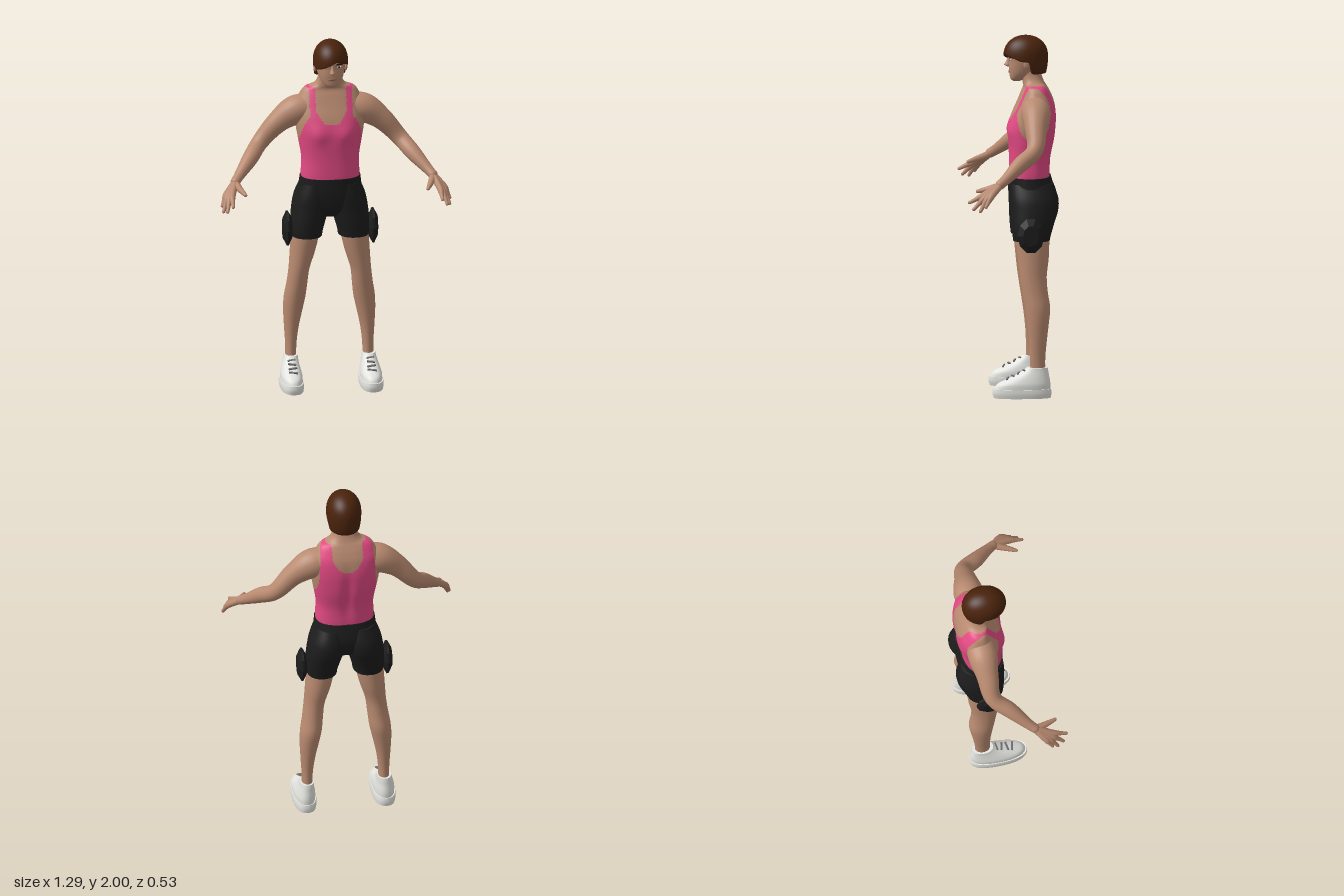
import * as THREE from 'three';

const mat = (name, color, side = THREE.FrontSide) => Object.assign(new THREE.MeshStandardMaterial({ color, side }), { name });
const M = {
  skin: mat('skin', 0xb98a70),
  tank: mat('pink fabric', 0xe34a83),
  black: mat('black fabric', 0x1c1c1c),
  hair: mat('brown hair', 0x4a230c, THREE.DoubleSide),
  shoe: mat('white shoe', 0xe4e4e0),
  lace: mat('grey lace', 0x777777),
  dark: mat('dark eye', 0x2a1a12),
  white: mat('eye white', 0xd8cfc8),
  lip: mat('lip', 0x965f50),
};

// Smooth interpolation through rows of numbers, t in 0..1
function sample(rows, t) {
  const f = t * (rows.length - 1), i = Math.min(Math.floor(f), rows.length - 2), k = f - i;
  const at = j => rows[Math.max(0, Math.min(rows.length - 1, j))];
  return rows[0].map((_, c) => {
    const [a, b, d, e] = [at(i - 1)[c], at(i)[c], at(i + 1)[c], at(i + 2)[c]];
    return b + 0.5 * k * (d - a + k * (2 * a - 5 * b + 4 * d - e + k * (3 * (b - d) + e - a)));
  });
}

// Skin a list of closed rings; caps get sharp rims. pick() sorts faces into two material groups.
function skinRings(rings, pick) {
  const centre = r => {
    const c = r.reduce((s, p) => s.add(p), new THREE.Vector3()).divideScalar(r.length);
    return r.map(() => c);
  };
  const first = rings[0], last = rings[rings.length - 1];
  const all = [centre(first), first, ...rings, last, centre(last)];
  const n = first.length, pts = all.flat(), sets = [[], []];
  for (let j = 0; j < all.length - 1; j++) {
    for (let i = 0; i < n; i++) {
      const a = j * n + i, b = j * n + (i + 1) % n, c = a + n, d = b + n;
      const mid = pts[a].clone().add(pts[d]).multiplyScalar(0.5);
      sets[pick && pick(mid) ? 1 : 0].push(a, b, c, b, d, c);
    }
  }
  const g = new THREE.BufferGeometry().setFromPoints(pts);
  g.setIndex([...sets[0], ...sets[1]]);
  if (pick) {
    g.addGroup(0, sets[0].length, 0);
    g.addGroup(sets[0].length, sets[1].length, 1);
  }
  g.computeVertexNormals();
  return g;
}

// Upright loft; rows are [y, centre x, half width, front z, back z]
function loft(rows, { n = 32, steps = 24, p = 2, warp, pick } = {}) {
  const pw = c => Math.sign(c) * Math.abs(c) ** (2 / p);
  const rings = [];
  for (let j = 0; j <= steps; j++) {
    const [y, cx, w, zf, zb] = sample(rows, j / steps);
    rings.push(Array.from({ length: n }, (_, i) => {
      const a = i / n * Math.PI * 2;
      const v = new THREE.Vector3(cx + w * pw(Math.cos(a)), y, (zf + zb) / 2 - (zf - zb) / 2 * pw(Math.sin(a)));
      if (warp) warp(v);
      return v;
    }));
  }
  return skinRings(rings, pick);
}

// Round limb swept through [x, y, z, radius] points, with a rounded tip
function limb(points, s, n = 16, steps = 24) {
  const curve = new THREE.CatmullRomCurve3(points.map(([x, y, z]) => new THREE.Vector3(x * s, y, z)));
  const { normals, binormals } = curve.computeFrenetFrames(steps);
  const rings = [];
  for (let j = 0; j <= steps; j++) {
    const t = j / steps, c = curve.getPoint(t);
    const r = sample(points, t)[3] * (t > 0.93 ? Math.sqrt(Math.max(0.04, 1 - ((t - 0.93) / 0.07) ** 2)) : 1);
    rings.push(Array.from({ length: n }, (_, i) => {
      const a = i / n * Math.PI * 2;
      return c.clone().addScaledVector(normals[j], r * Math.cos(a)).addScaledVector(binormals[j], r * Math.sin(a));
    }));
  }
  return skinRings(rings);
}

export function createModel() {
  const root = new THREE.Group();
  const add = (name, geo, m, x = 0, y = 0, z = 0) => {
    const o = new THREE.Mesh(geo, m);
    o.name = name;
    o.position.set(x, y, z);
    root.add(o);
    return o;
  };
  const mirrored = rows => s => rows.map(([y, cx, ...r]) => [y, cx * s, ...r]);

  // Torso and neck; the tank top is cut out by neckline and armhole rules
  const inTank = ({ x, y, z }) => {
    const ax = Math.abs(x);
    const low = z > -0.14 ? 1.53 : 1.575;
    if (y > 1.728 || (ax < 0.086 && y > low + 0.08 * (ax / 0.086) ** 3)) return false;
    if (ax > 0.15 && y > 1.62) return false;
    return !(ax > 0.12 && ((z + 0.125) / 0.092) ** 2 + ((y - 1.57) / 0.15) ** 2 < 1);
  };
  add('torsoAndTankTop', loft([
    [1.16, 0, 0.155, 0, -0.215], [1.22, 0, 0.163, 0.005, -0.22], [1.32, 0, 0.16, 0.005, -0.225],
    [1.42, 0, 0.176, 0.008, -0.245], [1.49, 0, 0.188, 0.006, -0.253], [1.56, 0, 0.194, -0.012, -0.255],
    [1.63, 0, 0.188, -0.042, -0.245], [1.68, 0, 0.165, -0.062, -0.225], [1.715, 0, 0.14, -0.075, -0.205],
    [1.74, 0, 0.088, -0.07, -0.19], [1.78, 0, 0.066, -0.062, -0.176], [1.84, 0, 0.062, -0.055, -0.17],
  ], {
    n: 128, steps: 110, p: 2.4, pick: inTank,
    warp: v => { // chest bulges and spine groove
      const dy = Math.exp(-(((v.y - 1.47) / 0.055) ** 2));
      if (v.z > -0.1) v.z += 0.012 * dy * Math.exp(-(((Math.abs(v.x) - 0.08) / 0.05) ** 2));
      else if (v.z < -0.18) v.z += 0.012 * Math.exp(-((v.x / 0.03) ** 2)) * Math.exp(-(((v.y - 1.42) / 0.15) ** 2));
    },
  }), [M.skin, M.tank]);

  // Shorts: pelvis plus two legs
  add('shortsPelvis', loft([
    [0.985, 0, 0.06, -0.05, -0.17], [1.03, 0, 0.15, -0.01, -0.225], [1.1, 0, 0.185, 0.006, -0.245],
    [1.16, 0, 0.175, 0.01, -0.24], [1.215, 0, 0.168, 0.011, -0.227],
  ], { p: 2.3, n: 48 }), M.black);
  const shortsLeg = mirrored([
    [0.868, 0.13, 0.085, -0.012, -0.215], [0.9, 0.13, 0.09, -0.008, -0.222], [0.96, 0.121, 0.098, -0.003, -0.24],
    [1.03, 0.108, 0.104, 0, -0.262], [1.1, 0.098, 0.1, 0.004, -0.264], [1.18, 0.085, 0.08, 0, -0.235],
  ]);
  const leg = mirrored([
    [0.12, 0.216, 0.03, -0.1, -0.185], [0.22, 0.215, 0.031, -0.1, -0.186], [0.32, 0.212, 0.04, -0.096, -0.195],
    [0.42, 0.204, 0.053, -0.085, -0.207], [0.5, 0.194, 0.06, -0.073, -0.214], [0.58, 0.183, 0.058, -0.06, -0.202],
    [0.67, 0.172, 0.058, -0.047, -0.196], [0.77, 0.153, 0.07, -0.036, -0.208], [0.87, 0.138, 0.078, -0.026, -0.212],
    [0.95, 0.128, 0.08, -0.025, -0.21],
  ]);
  const sole = mirrored([[0, 0.222, 0.063, 0.1, -0.216], [0.025, 0.222, 0.066, 0.108, -0.22], [0.05, 0.222, 0.064, 0.106, -0.217]]);
  const upper = mirrored([
    [0.045, 0.222, 0.06, 0.1, -0.213], [0.075, 0.222, 0.059, 0.083, -0.214], [0.1, 0.221, 0.053, 0.035, -0.211],
    [0.125, 0.22, 0.046, -0.02, -0.206], [0.15, 0.218, 0.041, -0.062, -0.202], [0.168, 0.217, 0.039, -0.083, -0.198],
  ]);

  const finger = [ // knuckle and tip of each finger
    [[0.582, 1.19, 0.185], [0.585, 1.152, 0.262]], [[0.596, 1.18, 0.175], [0.615, 1.115, 0.238]],
    [[0.608, 1.178, 0.158], [0.634, 1.105, 0.2]], [[0.614, 1.185, 0.138], [0.638, 1.13, 0.168]],
  ];
  for (const s of [1, -1]) {
    const side = s > 0 ? 'left' : 'right';
    add(side + 'ShortsLeg', loft(shortsLeg(s), { p: 2.2 }), M.black);
    add(side + 'Leg', loft(leg(s), { steps: 36 }), M.skin);

    // Faceted hip pad
    const pad = add(side + 'HipPad', new THREE.LatheGeometry(
      [[0, -0.024], [0.6, -0.024], [1, -0.004], [1, 0.006], [0.6, 0.026], [0, 0.026]].map(p => new THREE.Vector2(...p)), 10).toNonIndexed(),
    M.black, s * 0.238, 0.91, -0.105);
    pad.geometry.computeVertexNormals();
    pad.scale.set(0.1, 1, 0.075);
    pad.rotation.z = -s * Math.PI / 2;

    // Shoe with laces
    add(side + 'ShoeSole', loft(sole(s), { p: 2.5, steps: 6 }), M.shoe);
    add(side + 'ShoeUpper', loft(upper(s), { p: 2.3 }), M.shoe);
    for (let i = 0; i < 4; i++) {
      const lace = add(side + 'Lace', new THREE.BoxGeometry(0.052 - i * 0.003, 0.008, 0.009), M.lace, s * 0.22, 0.107 + i * 0.015, 0.024 - i * 0.03);
      lace.rotation.set(0.45, (i % 2 ? 1 : -1) * 0.2, 0);
    }

    // Arm and hand
    add(side + 'Arm', limb([
      [0.1, 1.605, -0.135, 0.075], [0.19, 1.585, -0.135, 0.083], [0.29, 1.52, -0.13, 0.062], [0.39, 1.412, -0.118, 0.047],
      [0.455, 1.345, -0.035, 0.044], [0.53, 1.27, 0.053, 0.029], [0.565, 1.235, 0.1, 0.027],
    ], s, 24, 40), M.skin);
    for (const [k, t] of finger) {
      const mid = k.map((v, i) => (v + t[i]) / 2);
      add(side + 'Finger', limb([[0.552, 1.248, 0.08, 0.02], [...k, 0.018], [...mid, 0.012], [...t, 0.009]], s, 10), M.skin);
    }
    add(side + 'Thumb', limb([[0.552, 1.243, 0.085, 0.02], [0.535, 1.225, 0.14, 0.018], [0.518, 1.213, 0.185, 0.013], [0.506, 1.205, 0.214, 0.009]], s, 10), M.skin);

    // Ear, eye and brow
    add(side + 'Ear', new THREE.SphereGeometry(1, 12, 10), M.skin, s * 0.086, 1.85, -0.09).scale.set(0.01, 0.03, 0.019);
    add(side + 'EyeWhite', new THREE.SphereGeometry(1, 12, 8), M.white, s * 0.037, 1.868, 0).scale.set(0.014, 0.006, 0.006);
    add(side + 'Pupil', new THREE.SphereGeometry(1, 10, 8), M.dark, s * 0.037, 1.868, 0.003).scale.set(0.006, 0.006, 0.005);
    const brow = add(side + 'Brow', new THREE.BoxGeometry(0.036, 0.007, 0.008), M.dark, s * 0.038, 1.884, 0.003);
    brow.rotation.set(0, s * 0.35, -s * 0.1);
  }

  // Head, nose and mouth
  add('head', loft([
    [1.745, 0, 0.022, -0.015, -0.06], [1.758, 0, 0.042, -0.002, -0.09], [1.785, 0, 0.062, 0.002, -0.13],
    [1.82, 0, 0.074, 0.006, -0.165], [1.86, 0, 0.082, 0.006, -0.185], [1.9, 0, 0.084, 0.01, -0.19], [1.96, 0, 0.062, -0.02, -0.16],
  ], { p: 2.2, n: 40 }), M.skin);
  add('nose', loft([
    [1.826, 0, 0.014, 0.018, -0.01], [1.835, 0, 0.016, 0.032, -0.01], [1.855, 0, 0.01, 0.021, -0.01], [1.882, 0, 0.007, 0.01, -0.01],
  ], { n: 12, steps: 10 }), M.skin);
  add('mouth', new THREE.SphereGeometry(1, 14, 8), M.lip, 0, 1.797, 0.002).scale.set(0.024, 0.007, 0.007);

  // Hair cap: slanted fringe, short over the ears, long at the nape
  const hairRings = [], N = 64, R = 24;
  for (let j = -1; j <= R; j++) {
    hairRings.push(Array.from({ length: N }, (_, i) => {
      const a = i / N * Math.PI * 2, cx = Math.cos(a), f = -Math.sin(a);
      const fringe = cx < 0.2 ? 1.902 + 0.05 * (cx - 0.2) : 1.902 - 0.035 * (cx - 0.2);
      const k = THREE.MathUtils.smoothstep(f, -0.35, -0.05), q = THREE.MathUtils.smoothstep(f, 0.15, 0.6);
      const bottom = THREE.MathUtils.lerp(THREE.MathUtils.lerp(1.79, 1.862, k), fringe, q);
      const t = Math.max(j, 0) / R, y = bottom + (2 - bottom) * Math.sin(t * Math.PI / 2);
      const h = (y - 1.88) / 0.12;
      let r = h > 0 ? Math.sqrt(Math.max(0, 1 - h ** 2.3)) : 1 - 0.16 * h * h;
      if (j < 0) r *= 0.82;
      return new THREE.Vector3(0.097 * r * cx, y, -0.088 + 0.124 * r * f);
    }));
  }
  add('hair', skinRings(hairRings), M.hair);

  return root;
}
